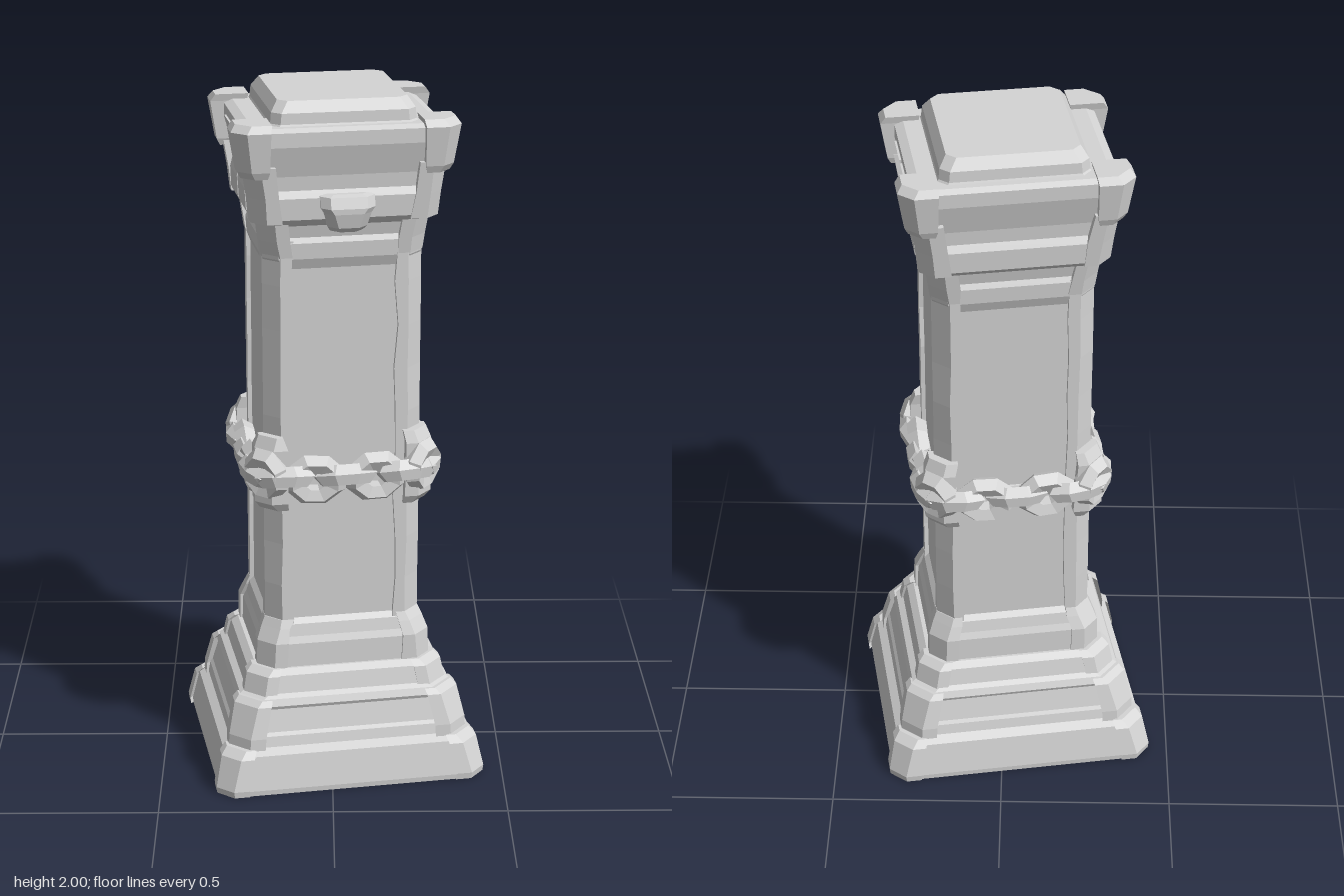
import * as THREE from 'three';

const stone = new THREE.MeshStandardMaterial({ color: 0xd4d4d4, flatShading: true, side: THREE.DoubleSide });
stone.name = 'stone';

// small seeded random for worn edges
let seed = 11;
const rnd = () => ((seed = (seed * 16807) % 2147483647) / 2147483647) * 2 - 1;

// skin between equal-length rings of [x, y, z], with optional end caps
function loft(rings, bottom = true, top = true) {
  const pos = [], n = rings[0].length;
  const tri = (a, b, c) => pos.push(...a, ...b, ...c);
  for (let r = 0; r + 1 < rings.length; r++) {
    for (let i = 0; i < n; i++) {
      const j = (i + 1) % n, lo = rings[r], hi = rings[r + 1];
      tri(lo[i], lo[j], hi[j]);
      tri(lo[i], hi[j], hi[i]);
    }
  }
  const first = rings[0], last = rings[rings.length - 1];
  for (let i = 1; i + 1 < n; i++) {
    if (bottom) tri(first[0], first[i + 1], first[i]);
    if (top) tri(last[0], last[i], last[i + 1]);
  }
  const g = new THREE.BufferGeometry();
  g.setAttribute('position', new THREE.Float32BufferAttribute(pos, 3));
  g.computeVertexNormals();
  return g;
}

// rectangle with cut corners: half width a, half depth b, cut c
const octagon = ([y, a, b, c = 0.04]) => [
  [a, y, -b + c], [a - c, y, -b], [-a + c, y, -b], [-a, y, -b + c],
  [-a, y, b - c], [-a + c, y, b], [a - c, y, b], [a, y, b - c],
].reverse();

// corner post, w wide, mirrored into the chosen corner; a thin one has no inner edge
function cornerRing([y, a, b, c, w], sx, sz, thin) {
  const outline = [[a - w, b], [a - c, b], [a, b - c], [a, b - w]];
  if (!thin) outline.unshift([a - w, b - w]);
  const p = outline.map(([x, z]) => [x * sx, y, z * sz]);
  return sx * sz > 0 ? p : p.reverse();
}

export function createModel() {
  const root = new THREE.Group();
  root.name = 'stonePillar';
  const pillar = new THREE.Group();
  pillar.name = 'pillar';
  pillar.rotation.y = 0.17;
  root.add(pillar);

  const add = (name, geometry, parent = pillar) => {
    const m = new THREE.Mesh(geometry, stone);
    m.name = name;
    parent.add(m);
    return m;
  };
  const band = (name, rows, bottom, top) => add(name, loft(rows.map(octagon), bottom, top));
  const corners = (name, rows, wear = 0, thin = false) => {
    for (const sx of [-1, 1]) for (const sz of [-1, 1]) {
      add(name, loft(rows.map(([y, a, b, c, w]) =>
        cornerRing([y, a, b, c + wear * rnd() * 0.5, w + wear * rnd()], sx, sz, thin))));
    }
  };

  // hollow stepped base with a sunken ceiling
  band('base', [
    [0, 0.387, 0.36, 0.065], [0.015, 0.388, 0.361, 0.065], [0.115, 0.368, 0.341, 0.065],
    [0.13, 0.344, 0.315, 0.065], [0.16, 0.338, 0.308, 0.065], [0.17, 0.33, 0.301, 0.065],
    [0.235, 0.314, 0.285, 0.065], [0.245, 0.318, 0.289, 0.065], [0.265, 0.31, 0.28, 0.06],
    [0.275, 0.291, 0.266, 0.06], [0.325, 0.28, 0.254, 0.06], [0.34, 0.26, 0.235, 0.05],
  ], false, true);
  band('baseCeiling', [[0.125, 0.345, 0.318, 0.065], [0.14, 0.315, 0.286, 0.06], [0.24, 0.292, 0.264, 0.06]], false, true);
  corners('baseCorner', [
    [0.001, 0.395, 0.366, 0.045, 0.09], [0.02, 0.397, 0.368, 0.045, 0.09],
    [0.11, 0.378, 0.35, 0.05, 0.09], [0.13, 0.36, 0.33, 0.05, 0.08],
  ], 0, true);
  corners('stepCorner', [
    [0.125, 0.352, 0.324, 0.055, 0.1], [0.16, 0.35, 0.322, 0.055, 0.1],
    [0.25, 0.33, 0.302, 0.06, 0.1], [0.265, 0.315, 0.288, 0.06, 0.09],
  ], 0, true);
  corners('upperStepCorner', [
    [0.262, 0.3, 0.272, 0.055, 0.09], [0.325, 0.288, 0.26, 0.055, 0.09], [0.342, 0.27, 0.243, 0.055, 0.08],
  ]);

  // shaft: plinth, recessed core, raised corner pilasters
  band('plinth', [
    [0.335, 0.248, 0.228], [0.41, 0.245, 0.225], [0.43, 0.236, 0.216], [0.465, 0.228, 0.208], [0.48, 0.214, 0.194],
  ]);
  corners('plinthCorner', [
    [0.335, 0.255, 0.235, 0.045, 0.085], [0.415, 0.253, 0.233, 0.045, 0.085],
    [0.455, 0.238, 0.218, 0.045, 0.08], [0.48, 0.227, 0.207, 0.045, 0.075],
  ], 0.006);
  band('shaftCore', [[0.46, 0.214, 0.194], [1.64, 0.214, 0.194]]);
  const post = [];
  for (let i = 0; i <= 9; i++) post.push([0.46 + i * 0.128, 0.226, 0.206, 0.045, 0.078]);
  corners('pilaster', post, 0.006);
  band('neck', [
    [1.53, 0.214, 0.194], [1.56, 0.225, 0.205], [1.605, 0.227, 0.207], [1.62, 0.219, 0.199],
    [1.655, 0.226, 0.206], [1.68, 0.25, 0.23],
  ]);
  corners('neckCorner', [
    [1.565, 0.228, 0.208, 0.045, 0.08], [1.61, 0.234, 0.214, 0.045, 0.08], [1.67, 0.242, 0.222, 0.045, 0.08],
  ], 0.005);

  // flared capital and top block
  band('capital', [
    [1.665, 0.247, 0.225], [1.68, 0.26, 0.238], [1.74, 0.262, 0.24], [1.76, 0.25, 0.228],
    [1.8, 0.254, 0.23], [1.885, 0.279, 0.251], [1.925, 0.279, 0.251], [1.935, 0.255, 0.235],
  ]);
  corners('capitalRib', [
    [1.67, 0.262, 0.24, 0.04, 0.08], [1.74, 0.269, 0.246, 0.04, 0.08], [1.83, 0.283, 0.254, 0.04, 0.08],
  ], 0.006);
  corners('capitalHorn', [
    [1.8, 0.29, 0.252, 0.035, 0.07], [1.82, 0.3, 0.26, 0.035, 0.085],
    [1.93, 0.318, 0.274, 0.04, 0.105], [1.95, 0.304, 0.26, 0.04, 0.095],
  ]);
  band('topBlock', [
    [1.92, 0.215, 0.222, 0.025], [1.94, 0.203, 0.212, 0.025], [1.97, 0.2, 0.21, 0.025], [2, 0.18, 0.188, 0.025],
  ]);

  // split facing stones on both sides of the capital
  for (const sx of [-1, 1]) for (const sz of [-1, 1]) {
    const slab = [[1.69, 0.265, 0.006, 0.15], [1.75, 0.268, 0.004, 0.145], [1.79, 0.263, 0.004, 0.12], [1.9, 0.285, 0.006, 0.13]]
      .map(([y, x, z0, z1]) => {
        const p = [[x - 0.04, z0], [x - 0.04, z1], [x, z1 - 0.008], [x, z0 + 0.004]].map(([px, pz]) => [px * sx, y, pz * sz]);
        return sx * sz > 0 ? p : p.reverse();
      });
    add('capitalFacing', loft(slab));
  }

  // bracket stone on the front of the capital
  const bracket = [[1.645, 0.046, 0.255], [1.66, 0.054, 0.272], [1.7, 0.066, 0.28], [1.715, 0.076, 0.28], [1.745, 0.076, 0.268], [1.75, 0.065, 0.25]]
    .map(([y, w, z]) => [[-w, y, 0.19], [-w, y, z - 0.025], [-w + 0.025, y, z], [w - 0.025, y, z], [w, y, z - 0.025], [w, y, 0.19]]);
  add('frontBracket', loft(bracket));

  // chain: corner cuffs and alternating links
  corners('chainCuff', [
    [0.825, 0.24, 0.22, 0.045, 0.07], [0.85, 0.256, 0.234, 0.045, 0.085],
    [1.01, 0.256, 0.234, 0.045, 0.085], [1.045, 0.242, 0.222, 0.045, 0.07],
  ], 0.008);
  const chain = new THREE.Group();
  chain.name = 'chain';
  pillar.add(chain);
  const link = (x, y, z, turn, tilt, stretch, squash) => {
    const g = new THREE.TorusGeometry(0.054, 0.031, 5, 8);
    g.rotateZ(Math.PI / 8);
    g.scale(stretch, squash, 1);
    g.rotateX(tilt);
    const m = add('chainLink', g, chain);
    m.position.set(x, y, z);
    m.rotation.y = turn;
    m.rotation.z = rnd() * 0.06;
  };
  for (let s = 0; s < 4; s++) {
    const turn = s * Math.PI / 2, odd = s % 2;
    const out = odd ? 0.23 : 0.21, half = odd ? 0.21 : 0.23;
    const at = (t, d, y, extra, tilt, stretch, squash) => link(
      t * Math.cos(turn) + d * Math.sin(turn), y, -t * Math.sin(turn) + d * Math.cos(turn), turn + extra, tilt, stretch, squash);
    for (const m of [-1, 1]) at(m * 0.088, out + 0.01, 0.915, m * 0.06, 0.1, 1.1, 0.95);
    at(0, out + 0.01, 0.925, 0, 1.25, 1.15, 0.6);
    for (const m of [-1, 1]) at(m * (half - 0.055), out + 0.014, 0.93, m * 0.15, 1.25, 1.1, 0.6);
    at(half - 0.005, out - 0.005, 0.935, Math.PI / 4, 0.15, 0.9, 1);
  }

  return root;
}
